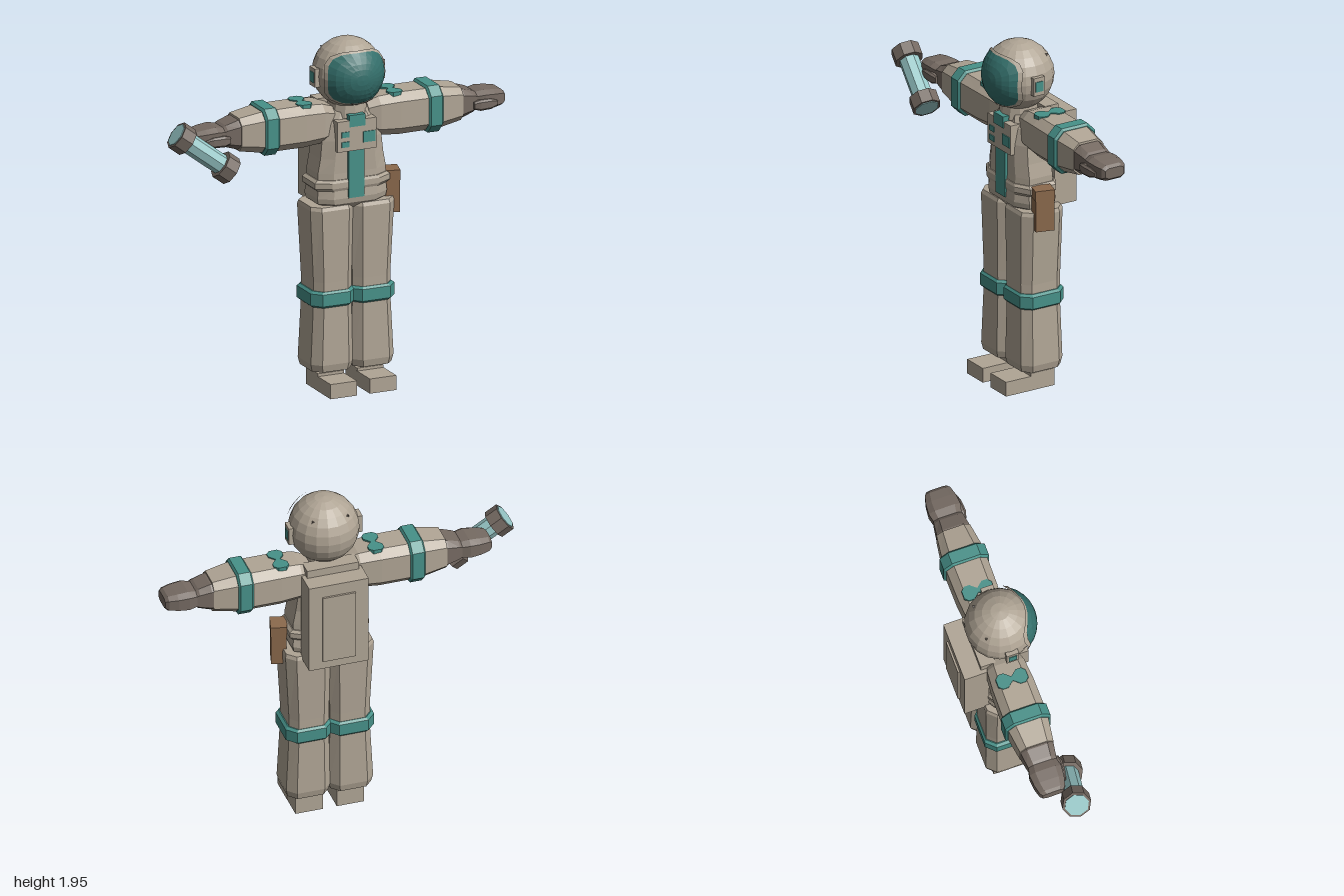
import * as THREE from 'three';

const mat = (name, color) => {
  const m = new THREE.MeshStandardMaterial({ color });
  m.name = name;
  return m;
};

// Split faces so that every facet is flat
function facet(g) {
  const f = g.index ? g.toNonIndexed() : g;
  f.computeVertexNormals();
  return f;
}

// Chamfered-square rings stacked along y: [y, halfX, halfZ, centreX, centreZ]
function loft(sections, f = 0.63) {
  const ring = [[1, f], [f, 1], [-f, 1], [-1, f], [-1, -f], [-f, -1], [f, -1], [1, -f]];
  const pos = [], idx = [], n = 8;
  for (const [y, hx, hz, cx = 0, cz = 0] of sections)
    for (const [a, b] of ring) pos.push(cx + a * hx, y, cz + b * hz);
  const last = (sections.length - 1) * n;
  for (let j = 0; j < n; j++) {
    const k = (j + 1) % n;
    for (let i = 0; i < last; i += n)
      idx.push(i + j, i + n + j, i + k, i + k, i + n + j, i + n + k);
    if (j > 0 && j < n - 1) idx.push(0, j, j + 1, last, last + j + 1, last + j);
  }
  const g = new THREE.BufferGeometry();
  g.setAttribute('position', new THREE.Float32BufferAttribute(pos, 3));
  g.setIndex(idx);
  return facet(g);
}

// Rounded-rectangle patch lying on a sphere of radius R, facing +z
function spherePatch(s0, s1, R, rings) {
  const pos = [], idx = [], n = 24;
  for (let i = 0; i <= rings; i++) {
    const s = s0 + (s1 - s0) * i / rings;
    for (let j = 0; j < n; j++) {
      const a = j / n * Math.PI * 2, c = Math.cos(a), d = Math.sin(a);
      const r = s / Math.pow(Math.abs(c) ** 3 + Math.abs(d) ** 3, 1 / 3);
      const x = 0.17 * r * c, y = 0.142 * r * d;
      pos.push(x, y, Math.sqrt(Math.max(0, R * R - x * x - y * y)));
      const k = (j + 1) % n, b = i * n;
      if (i < rings) idx.push(b + j, b + n + j, b + n + k, b + j, b + n + k, b + k);
    }
  }
  const g = new THREE.BufferGeometry();
  g.setAttribute('position', new THREE.Float32BufferAttribute(pos, 3));
  g.setIndex(idx);
  return facet(g);
}

export function createModel() {
  const suit = mat('suit fabric', 0xb0a595);
  const teal = mat('teal trim', 0x479189);
  const visorMat = mat('visor', 0x34706c);
  const glove = mat('glove', 0x756a62);
  const leather = mat('pouch leather', 0x8c6a4d);
  const glass = mat('glass', 0x98c8c8);

  const root = new THREE.Group();
  root.name = 'astronaut';
  const body = new THREE.Group();
  body.name = 'body';
  body.position.x = 0.083;
  root.add(body);

  const add = (name, geo, m, parent = body) => {
    const mesh = new THREE.Mesh(geo, m);
    mesh.name = name;
    parent.add(mesh);
    return mesh;
  };
  // Box given by its min and max on each axis
  const box = (name, m, x0, x1, y0, y1, z0, z1) => {
    const mesh = add(name, new THREE.BoxGeometry(x1 - x0, y1 - y0, z1 - z0), m);
    mesh.position.set((x0 + x1) / 2, (y0 + y1) / 2, (z0 + z1) / 2);
    return mesh;
  };

  // Torso, belt and neck ring
  add('torso', loft([
    [1.01, 0.1, 0.09, 0, 0.015], [1.05, 0.2, 0.125, 0, 0.015], [1.08, 0.205, 0.13, 0, 0.015],
    [1.13, 0.2, 0.12, 0, 0.02], [1.22, 0.2, 0.115, 0, 0.02], [1.3, 0.185, 0.115, 0, 0.02],
    [1.4, 0.175, 0.12, 0, 0.015], [1.49, 0.155, 0.115, 0, 0.01], [1.55, 0.115, 0.095, 0, 0.01],
    [1.57, 0.09, 0.08, 0, 0.015]]), suit);
  add('belt', loft([
    [1.125, 0.205, 0.122, 0, 0.02], [1.14, 0.222, 0.128, 0, 0.02],
    [1.17, 0.222, 0.128, 0, 0.02], [1.185, 0.205, 0.122, 0, 0.02]]), suit);
  const collar = add('collar', facet(new THREE.CylinderGeometry(0.1, 0.11, 0.09, 12)), suit);
  collar.position.set(0, 1.565, 0.03);

  // Chest control box with teal plates
  box('chestBox', suit, -0.115, 0.115, 1.345, 1.515, 0.08, 0.158);
  box('chestStripe', teal, -0.046, 0.046, 1.08, 1.345, 0.11, 0.151);
  box('chestPlate', teal, -0.046, 0.046, 1.48, 1.545, 0.1, 0.163);
  box('buttonUpper', teal, -0.093, -0.046, 1.425, 1.455, 0.155, 0.163);
  box('buttonLower', teal, -0.093, -0.046, 1.37, 1.4, 0.155, 0.163);
  box('screen', teal, 0.035, 0.107, 1.385, 1.445, 0.155, 0.163);

  // Backpack
  box('backpack', suit, -0.167, 0.167, 1.02, 1.55, -0.225, -0.085);
  box('backpackPanel', suit, -0.093, 0.093, 1.07, 1.48, -0.236, -0.22);
  box('backpackTop', suit, -0.145, 0.145, 1.5, 1.595, -0.125, -0.04);

  // Helmet with visor, rim and ear pieces
  const helmet = new THREE.Group();
  helmet.name = 'helmet';
  helmet.position.set(0, 1.755, 0.035);
  body.add(helmet);
  add('helmetShell', facet(new THREE.SphereGeometry(0.192, 18, 12)), suit, helmet);
  add('visor', spherePatch(0.001, 1, 0.201, 5), visorMat, helmet);
  add('visorRim', spherePatch(0.99, 1.06, 0.204, 1), suit, helmet);

  for (const s of [-1, 1]) {
    const side = s > 0 ? 'left' : 'right';
    box(side + 'EarPiece', suit, s * 0.19 - 0.017, s * 0.19 + 0.017, 1.697, 1.8, 0, 0.07);
    box(side + 'EarPlate', teal, s * 0.207 - 0.004, s * 0.207 + 0.004, 1.72, 1.777, 0.012, 0.058);
    const stud = add(side + 'HelmetStud', facet(new THREE.ConeGeometry(0.013, 0.016, 3)), glove, helmet);
    stud.position.set(s * 0.1, 0.12, -0.113);
    stud.quaternion.setFromUnitVectors(new THREE.Vector3(0, 1, 0), stud.position.clone().normalize());

    // Arm: sections run outward from the shoulder
    const arm = new THREE.Group();
    arm.name = side + 'Arm';
    arm.position.set(0, 1.493, 0.008);
    body.add(arm);
    const limb = (name, sections, m) =>
      add(name, loft(sections).rotateZ(-s * Math.PI / 2), m, arm);
    limb('sleeve', [
      [0.1, 0.085, 0.085], [0.165, 0.108, 0.105], [0.28, 0.117, 0.114],
      [0.44, 0.116, 0.116], [0.525, 0.114, 0.113], [0.655, 0.092, 0.095]], suit);
    limb('armBand', [
      [0.44, 0.117, 0.117], [0.45, 0.13, 0.128], [0.515, 0.13, 0.128], [0.525, 0.117, 0.117]], teal);
    limb('glove', [
      [0.65, 0.08, 0.092], [0.665, 0.08, 0.092], [0.73, 0.06, 0.083], [0.745, 0.05, 0.08],
      [0.79, 0.058, 0.09], [0.85, 0.052, 0.085], [0.9, 0.044, 0.072], [0.917, 0.03, 0.058]], glove);
    const thumb = add('thumb', loft([
      [0.72, 0.02, 0.02], [0.755, 0.03, 0.03], [0.82, 0.028, 0.026], [0.86, 0.014, 0.014]])
      .rotateZ(-s * Math.PI / 2), glove, arm);
    thumb.position.set(0, -0.015, 0.078);

    // Bow-shaped shoulder patch
    const bow = new THREE.Shape([
      [0.012, 0], [0.042, 0.035], [0.042, 0.065], [0.022, 0.085],
      [-0.022, 0.085], [-0.042, 0.065], [-0.042, 0.035], [-0.012, 0],
      [-0.042, -0.035], [-0.042, -0.065], [-0.022, -0.085],
      [0.022, -0.085], [0.042, -0.065], [0.042, -0.035]].map(p => new THREE.Vector2(...p)));
    const patch = add('shoulderPatch', new THREE.ExtrudeGeometry(bow,
      { depth: 0.03, bevelEnabled: false }).rotateX(-Math.PI / 2), teal, arm);
    patch.position.set(s * 0.267, 0.093, 0);

    // Leg, knee band and boot
    const z = 0.015;
    add(side + 'Leg', loft([
      [0.12, 0.115, 0.122, s * 0.12, z], [0.16, 0.124, 0.131, s * 0.12, z],
      [0.5, 0.112, 0.123, s * 0.115, z], [0.62, 0.112, 0.124, s * 0.115, z],
      [1.02, 0.128, 0.131, s * 0.12, z], [1.04, 0.122, 0.122, s * 0.12, z]]), suit);
    add(side + 'KneeBand', loft([
      [0.48, 0.115, 0.126, s * 0.118, z], [0.492, 0.13, 0.137, s * 0.118, z],
      [0.558, 0.13, 0.137, s * 0.118, z], [0.57, 0.115, 0.126, s * 0.118, z]]), teal);
    const c = s * 0.116;
    box(side + 'Ankle', suit, c - 0.053, c + 0.053, 0.08, 0.14, -0.06, 0.07);
    box(side + 'BootHeel', suit, c - 0.077, c + 0.077, 0, 0.098, -0.07, 0.08);
    box(side + 'BootToe', suit, c - 0.078, c + 0.078, 0, 0.082, 0.07, 0.237);
  }

  // Hip pouch, turned a little outward
  const pouch = box('pouch', leather, 0.211, 0.294, 0.947, 1.13, -0.009, 0.093);
  const flap = box('pouchFlap', leather, 0.208, 0.297, 1.125, 1.182, -0.012, 0.096);
  pouch.rotation.y = flap.rotation.y = -0.26;

  // Glass canister beside the right hand
  const a = new THREE.Vector3(-0.955, 1.552, 0.097), b = new THREE.Vector3(-0.655, 1.323, 0.147);
  const canister = new THREE.Group();
  canister.name = 'canister';
  canister.position.copy(a).lerp(b, 0.5);
  canister.quaternion.setFromUnitVectors(new THREE.Vector3(0, 1, 0), a.clone().sub(b).normalize());
  root.add(canister);
  const len = a.distanceTo(b);
  add('glassTube', facet(new THREE.CylinderGeometry(0.056, 0.056, len - 0.02, 8)), glass, canister);
  for (const s of [-1, 1]) {
    const cap = add('canisterCap', facet(new THREE.CylinderGeometry(0.08, 0.08, 0.075, 8)), glove, canister);
    cap.position.y = s * (len / 2 - 0.0375);
    const lens = add('canisterLens', facet(new THREE.CylinderGeometry(0.067, 0.067, 0.008, 8)), glass, canister);
    lens.position.y = s * len / 2;
  }
  return root;
}
